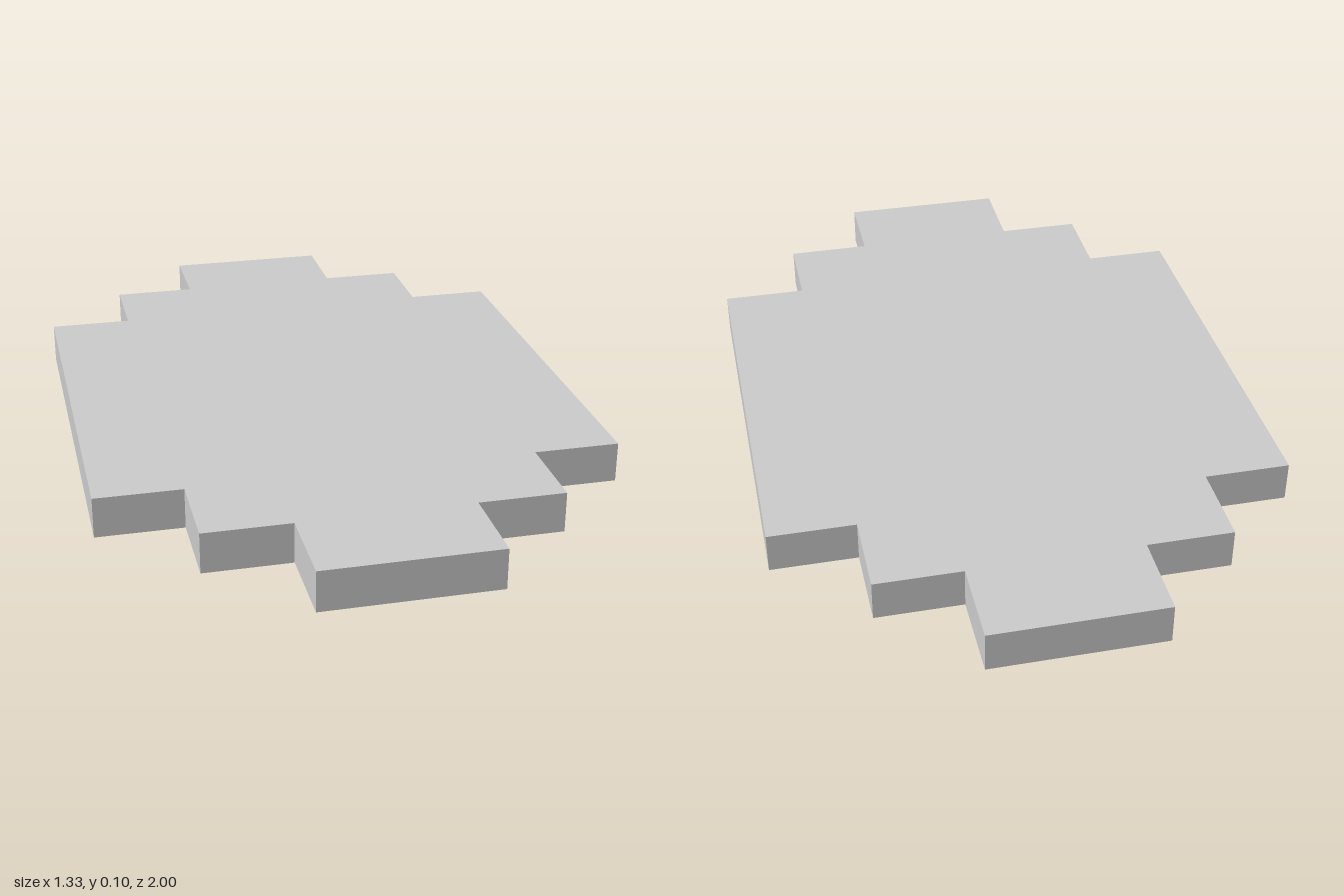
import * as THREE from 'three';

const STEP = 2 / 9;    // grid unit of the stepped outline
const HEIGHT = 0.105;

// Counter-clockwise outline: one stepped corner mirrored into four
function outlinePoints() {
  const corner = [[3, 2.5], [2, 2.5], [2, 3.5], [1, 3.5], [1, 4.5]];
  const mirror = (sx, sy) => corner.map(([x, y]) => new THREE.Vector2(sx * x * STEP, sy * y * STEP));
  return [
    ...mirror(1, 1),
    ...mirror(-1, 1).reverse(),
    ...mirror(-1, -1),
    ...mirror(1, -1).reverse(),
  ];
}

export function createModel() {
  const model = new THREE.Group();
  model.name = 'steppedTray';
  const material = new THREE.MeshStandardMaterial({
    color: 0xcccccc, flatShading: true, side: THREE.DoubleSide,
  });
  const points = outlinePoints();

  // Flat top sheet
  const top = new THREE.Mesh(new THREE.ShapeGeometry(new THREE.Shape(points)), material);
  top.name = 'topPlate';
  top.rotation.x = -Math.PI / 2;
  top.position.y = HEIGHT;
  model.add(top);

  // Thin skirt around the edge, open underneath
  const skirt = new THREE.Group();
  skirt.name = 'skirt';
  points.forEach((a, i) => {
    const b = points[(i + 1) % points.length];
    const wall = new THREE.Mesh(new THREE.PlaneGeometry(a.distanceTo(b), HEIGHT), material);
    wall.name = 'skirtWall';
    wall.position.set((a.x + b.x) / 2, HEIGHT / 2, -(a.y + b.y) / 2);
    wall.rotation.y = Math.atan2(b.y - a.y, b.x - a.x);
    skirt.add(wall);
  });
  model.add(skirt);

  return model;
}
